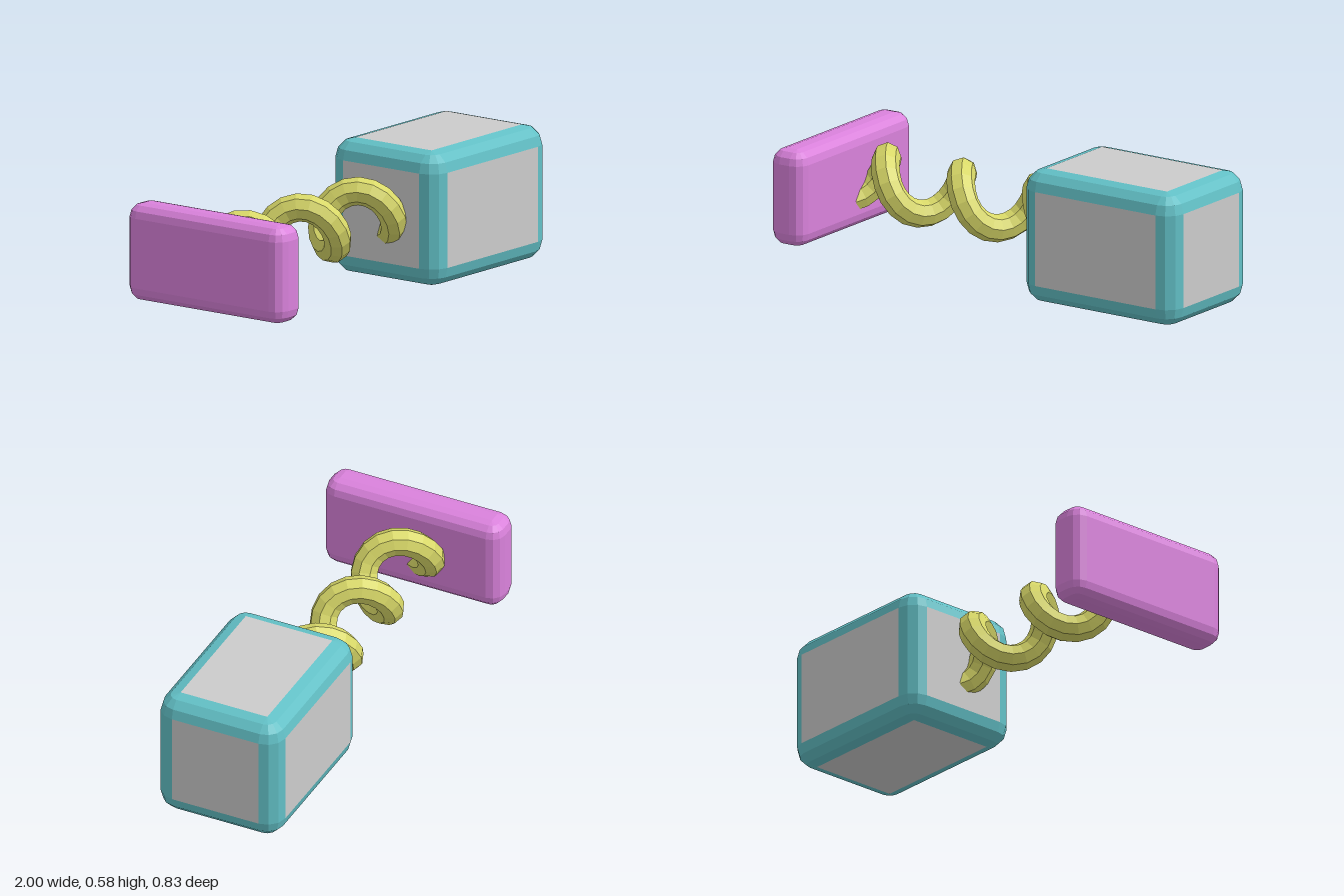
import * as THREE from 'three';

const mat = (color) => new THREE.MeshStandardMaterial({ color, flatShading: true });

function meshFrom(name, positions, material) {
  const g = new THREE.BufferGeometry();
  g.setAttribute('position', new THREE.Float32BufferAttribute(positions, 3));
  g.computeVertexNormals();
  const m = new THREE.Mesh(g, material);
  m.name = name;
  return m;
}

// Box with three-step rounded edges: a sphere grid pulled apart into eight corners.
// The six flat faces become a separate mesh from the rounded rim.
function roundedBlock(name, size, r, rimMat, faceMat) {
  const steps = 3, q = Math.PI / 2;
  const [hx, hy, hz] = size.map((s) => s / 2 - r);
  const rings = [];
  for (const sy of [-1, 1]) {
    for (let i = 0; i <= steps; i++) {
      const lat = (sy < 0 ? i - steps : i) / steps * q;
      const ring = [];
      for (let quad = 0; quad < 4; quad++) {
        const sx = quad === 0 || quad === 3 ? 1 : -1;
        const sz = quad < 2 ? 1 : -1;
        for (let j = 0; j <= steps; j++) {
          const lon = (quad + j / steps) * q;
          ring.push([
            sx * hx + r * Math.cos(lat) * Math.cos(lon),
            sy * hy + r * Math.sin(lat),
            sz * hz + r * Math.cos(lat) * Math.sin(lon),
          ]);
        }
      }
      rings.push(ring);
    }
  }
  const rim = [], faces = [], n = rings[0].length, per = steps + 1;
  const quadTo = (out, a, b, c, d) => out.push(...a, ...b, ...c, ...a, ...c, ...d);
  for (let i = 0; i < rings.length - 1; i++) {
    for (let j = 0; j < n; j++) {
      const k = (j + 1) % n;
      const flat = i === steps && j % per === steps;
      quadTo(flat ? faces : rim, rings[i][j], rings[i + 1][j], rings[i + 1][k], rings[i][k]);
    }
  }
  // Bottom and top faces
  const corner = (ring) => [0, 1, 2, 3].map((c) => ring[c * per]);
  quadTo(faces, ...corner(rings[0]));
  quadTo(faces, ...corner(rings[rings.length - 1]).reverse());

  const group = new THREE.Group();
  group.name = name;
  group.add(meshFrom(name + 'Rim', rim, rimMat), meshFrom(name + 'Faces', faces, faceMat));
  return group;
}

// Helix running along x
class Helix extends THREE.Curve {
  getPoint(t, target = new THREE.Vector3()) {
    const x = -0.88 + 1.14 * t;
    const a = (2 * Math.PI * (x + 0.69)) / 0.388;
    return target.set(x, 0.305 + 0.106 * Math.cos(a), -0.012 + 0.106 * Math.sin(a));
  }
}

export function createModel() {
  const model = new THREE.Group();
  const pink = mat(0xda82dc), teal = mat(0x62c0c6), yellow = mat(0xd8d868), grey = mat(0xcccccc);
  yellow.side = THREE.DoubleSide;

  // Large block with inset-coloured faces
  const head = roundedBlock('block', [0.79, 0.58, 0.575], 0.085, teal, grey);
  head.position.set(0.605, 0.29, 0.0125);

  // End plate
  const plate = roundedBlock('plate', [0.17, 0.42, 0.83], 0.06, pink, pink);
  plate.position.set(-0.915, 0.29, 0);

  // Coiled spring joining the two
  const spring = new THREE.Mesh(new THREE.TubeGeometry(new Helix(), 46, 0.06, 8), yellow);
  spring.name = 'spring';

  model.add(head, plate, spring);
  return model;
}
